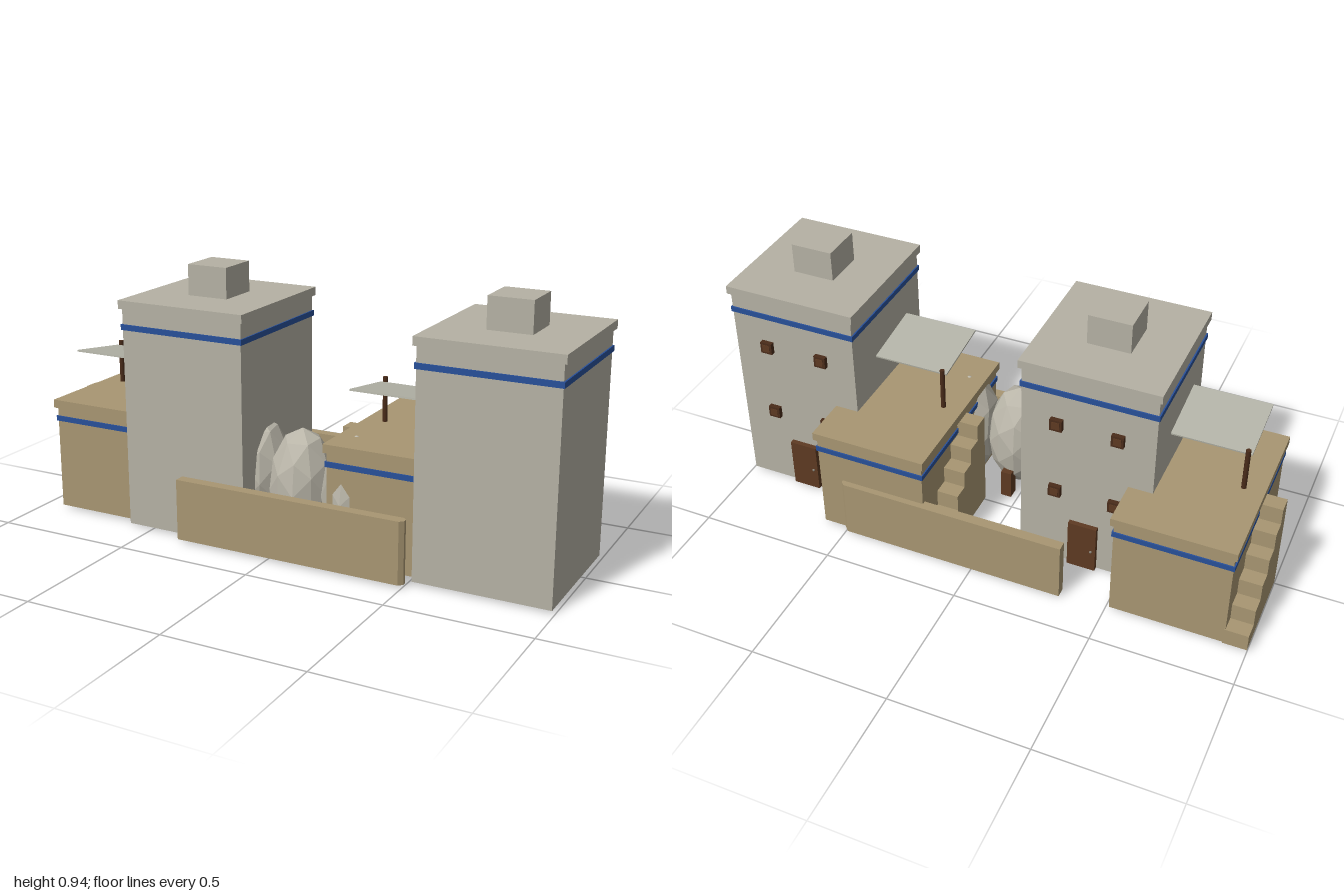
import * as THREE from 'three';

const mat = (name, color, extra = {}) => {
  const m = new THREE.MeshStandardMaterial({ color, ...extra });
  m.name = name;
  return m;
};

export function createModel() {
  const stone = mat('grey stone', 0xb5b1a4);
  const rock = mat('pale rock', 0xbab6a9, { flatShading: true });
  const clay = mat('tan clay', 0xa89672);
  const blue = mat('blue trim', 0x28509a);
  const cloth = mat('awning cloth', 0xb4b4a8);
  const wood = mat('door wood', 0x5e3a22);
  const darkWood = mat('dark wood', 0x4a2c1a);
  const knobMat = mat('knob grey', 0x8a8478);

  const add = (parent, name, geo, material) => {
    const mesh = new THREE.Mesh(geo, material);
    mesh.name = name;
    parent.add(mesh);
    return mesh;
  };
  // box given by its limits on each axis
  const box = (parent, name, material, [x0, x1], [y0, y1], [z0, z1]) => {
    const mesh = add(parent, name, new THREE.BoxGeometry(x1 - x0, y1 - y0, z1 - z0), material);
    mesh.position.set((x0 + x1) / 2, (y0 + y1) / 2, (z0 + z1) / 2);
    return mesh;
  };

  // one house: x = 0 is the middle of its tower
  function house() {
    const g = new THREE.Group();
    g.name = 'house';

    // tower
    box(g, 'tower', stone, [-0.237, 0.237], [0.01, 0.8], [-0.185, 0.315]);
    box(g, 'towerBand', blue, [-0.242, 0.242], [0.725, 0.745], [-0.19, 0.32]);
    box(g, 'towerCap', stone, [-0.247, 0.247], [0.8, 0.83], [-0.195, 0.325]);
    box(g, 'roofBlock', stone, [-0.077, 0.077], [0.83, 0.94], [-0.015, 0.14]);

    // door and windows on the back of the tower
    box(g, 'door', wood, [-0.052, 0.052], [0.01, 0.2], [-0.203, -0.18]);
    const knob = add(g, 'doorKnob', new THREE.SphereGeometry(0.005, 8, 6), knobMat);
    knob.position.set(-0.036, 0.096, -0.205);
    for (const x of [-0.108, 0.108]) {
      for (const y of [0.323, 0.608]) {
        box(g, 'windowFrame', darkWood, [x - 0.022, x + 0.022], [y - 0.022, y + 0.022], [-0.202, -0.18]);
        box(g, 'windowShutter', wood, [x - 0.014, x + 0.014], [y - 0.014, y + 0.014], [-0.204, -0.2]);
      }
    }

    // low annex with flat roof
    box(g, 'annex', clay, [-0.567, -0.16], [0.0105, 0.39], [-0.346, 0.28]);
    box(g, 'annexBand', blue, [-0.572, -0.155], [0.34, 0.359], [-0.351, 0.285]);
    box(g, 'annexRoof', clay, [-0.577, -0.15], [0.39, 0.42], [-0.356, 0.29]);

    // staircase rising from back to front along the annex
    const steps = 6, run = 0.35 / steps, rise = 0.38 / steps;
    const s = new THREE.Shape();
    s.moveTo(0, 0);
    for (let i = 0; i < steps; i++) {
      s.lineTo(i * run, (i + 1) * rise);
      s.lineTo((i + 1) * run, (i + 1) * rise);
    }
    s.lineTo(steps * run, 0);
    const stairs = add(g, 'stairs', new THREE.ExtrudeGeometry(s, { depth: 0.085, bevelEnabled: false }), clay);
    stairs.rotation.y = -Math.PI / 2; // profile runs along +z, thickness towards -x
    stairs.position.set(-0.562, 0.01, -0.35);

    // tilted awning and its post
    const awning = box(g, 'awning', cloth, [-0.517, -0.225], [0.574, 0.58], [-0.031, 0.216]);
    awning.rotation.x = -0.14;
    const post = add(g, 'awningPost', new THREE.CylinderGeometry(0.009, 0.009, 0.165, 8), darkWood);
    post.position.set(-0.503, 0.4975, -0.035);
    return g;
  }

  const model = new THREE.Group();
  model.name = 'settlement';
  for (const x of [-0.353, 0.753]) {
    const h = house();
    h.position.x = x;
    model.add(h);
  }

  // row of faceted domes, each with a small door at the back
  [[-0.16, 0.12], [0.04, 0.172], [0.24, 0.165]].forEach(([x, z], i) => {
    const g = new THREE.Group();
    g.name = 'rockDome';
    const dome = add(g, 'dome', new THREE.IcosahedronGeometry(1, 1), rock);
    dome.scale.set(0.118, 0.212, 0.128);
    dome.rotation.y = [0.5, 0.2, 0][i];
    dome.position.y = 0.212;
    box(g, 'domeDoor', wood, [-0.02, 0.02], [0.01, 0.12], [-0.132, -0.09]);
    g.position.set(x, 0, z);
    model.add(g);
  });

  // yard walls with chamfered outer corners at one end
  const wall = (name, x0, x1, z0, z1) => {
    const c = 0.014;
    const s = new THREE.Shape();
    s.moveTo(x0, -z0);
    s.lineTo(x0, -z1);
    s.lineTo(x1 - c, -z1);
    s.lineTo(x1, -z1 + c);
    s.lineTo(x1, -z0 - c);
    s.lineTo(x1 - c, -z0);
    const w = add(model, name, new THREE.ExtrudeGeometry(s, { depth: 0.22, bevelEnabled: false }), clay);
    w.rotation.x = -Math.PI / 2;
    w.position.y = 0.01;
  };
  wall('frontWall', -0.355, 0.503, 0.325, 0.365);
  wall('backWall', -0.337, 0.503, -0.368, -0.331);

  return model;
}
